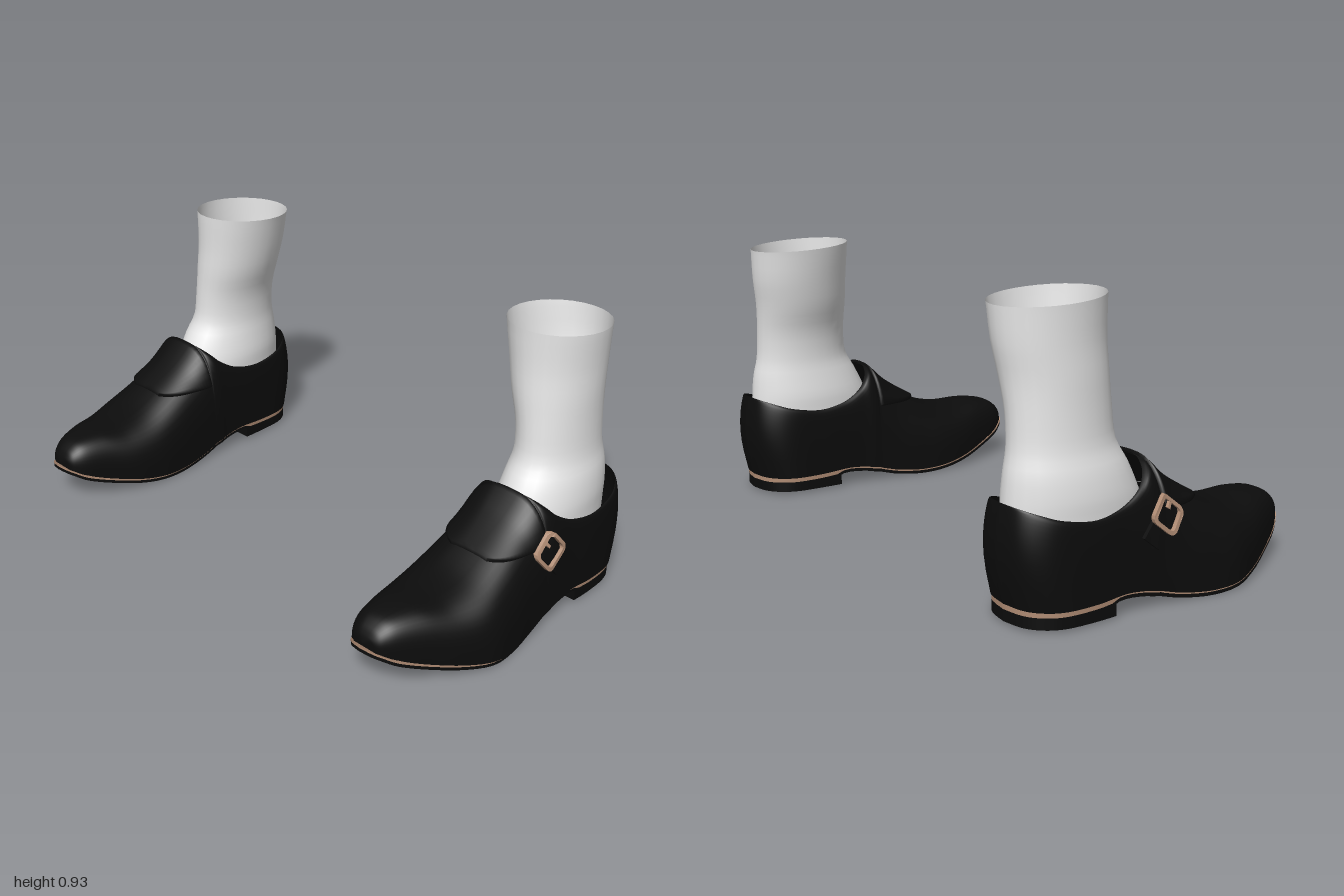
import * as THREE from 'three';
import { mergeGeometries, mergeVertices, toCreasedNormals } from 'three/addons/utils/BufferGeometryUtils.js';

const material = (name, color, side = THREE.FrontSide) => {
  const m = new THREE.MeshStandardMaterial({ color, side });
  m.name = name;
  return m;
};

// Shoe stations from toe to heel: z, centre x, half width, top y, base y, half opening
const STATIONS = [
  [0.55, 0.765, 0, 0.15, 0.142, 0], [0.54, 0.766, 0.042, 0.175, 0.136, 0],
  [0.52, 0.767, 0.066, 0.2, 0.124, 0], [0.48, 0.77, 0.092, 0.222, 0.1, 0],
  [0.4, 0.778, 0.128, 0.232, 0.07, 0], [0.3, 0.787, 0.17, 0.228, 0.042, 0],
  [0.2, 0.797, 0.195, 0.248, 0.024, 0], [0.1, 0.797, 0.19, 0.297, 0.018, 0],
  [0, 0.795, 0.176, 0.36, 0.028, 0], [-0.07, 0.795, 0.168, 0.425, 0.045, 0],
  [-0.085, 0.795, 0.167, 0.425, 0.05, 0.05], [-0.11, 0.795, 0.166, 0.4, 0.054, 0.1],
  [-0.15, 0.796, 0.162, 0.36, 0.062, 0.13], [-0.22, 0.797, 0.16, 0.322, 0.068, 0.142],
  [-0.32, 0.8, 0.16, 0.305, 0.062, 0.148], [-0.42, 0.8, 0.152, 0.32, 0.06, 0.14],
  [-0.48, 0.8, 0.125, 0.34, 0.06, 0.113], [-0.52, 0.8, 0.075, 0.355, 0.06, 0.066],
  [-0.535, 0.8, 0, 0.36, 0.06, 0],
];
// Sock rings: y, centre x, half width, front z, back z
const SOCK = [
  [0.2, 0.795, 0.14, -0.03, -0.525], [0.3, 0.795, 0.14, -0.05, -0.525],
  [0.36, 0.795, 0.14, -0.075, -0.522], [0.43, 0.795, 0.13, -0.11, -0.515],
  [0.5, 0.79, 0.117, -0.15, -0.502], [0.6, 0.782, 0.118, -0.16, -0.5],
  [0.7, 0.765, 0.133, -0.163, -0.506], [0.8, 0.752, 0.144, -0.167, -0.52],
  [0.914, 0.743, 0.158, -0.165, -0.525],
];

// Smooth interpolation through the rows of a table, t in 0..1
function sample(table, t) {
  const n = table.length - 1, f = Math.min(Math.max(t, 0), 1) * n;
  const i = Math.min(Math.floor(f), n - 1), k = f - i;
  const [p0, p1, p2, p3] = [Math.max(i - 1, 0), i, i + 1, Math.min(i + 2, n)].map((j) => table[j]);
  return p1.map((b, c) => {
    const m1 = (p2[c] - p0[c]) / 2, m2 = (p3[c] - b) / 2, d = p2[c] - b;
    return b + k * (m1 + k * (3 * d - 2 * m1 - m2 + k * (m1 + m2 - 2 * d)));
  });
}

function station(t) {
  const [z, xc, w, top, base, open] = sample(STATIONS, t);
  return { z, xc, w: Math.max(w, 0), top, base, open: Math.max(open, 0) };
}

function tAt(z) {
  let lo = 0, hi = 1;
  for (let i = 0; i < 30; i++) {
    const mid = (lo + hi) / 2;
    if (station(mid).z > z) lo = mid; else hi = mid;
  }
  return lo;
}

// Surface patch from fn(i, j) -> [x, y, z]
function grid(nu, nv, fn) {
  const pos = [], idx = [];
  for (let i = 0; i <= nu; i++) for (let j = 0; j <= nv; j++) pos.push(...fn(i, j));
  for (let i = 0; i < nu; i++) for (let j = 0; j < nv; j++) {
    const a = i * (nv + 1) + j, b = a + nv + 1;
    idx.push(a, b, b + 1, a, b + 1, a + 1);
  }
  const g = new THREE.BufferGeometry();
  g.setAttribute('position', new THREE.Float32BufferAttribute(pos, 3));
  g.setIndex(idx);
  return g;
}

function smooth(geos) {
  const g = mergeVertices(mergeGeometries(geos), 1e-5);
  g.computeVertexNormals();
  return g;
}

const P = 0.7; // fullness of the arched cross-section
const pw = (v) => Math.pow(Math.max(v, 0), P);

// Outer wall of the shoe at a given z and y
function wallX(z, y) {
  const s = station(tAt(z));
  const v = Math.min(Math.max((y - s.base) / (s.top - s.base), 0), 1);
  const sin = Math.pow(v, 1 / P);
  return s.xc + s.open + (s.w + 0.005 - s.open) * pw(Math.sqrt(1 - sin * sin));
}

// Upper: arched over the toes, open at the ankle, bulging at the heel
function upper() {
  const nu = 108, nv = 12;
  return smooth([1, -1].map((side) => grid(nu, nv, (i, j) => {
    const s = station(i / nu), a = ((side > 0 ? j : nv - j) / nv) * Math.PI / 2;
    const v = pw(Math.sin(a));
    const half = s.open + (s.w - s.open + (s.w > 0.03 ? 0.005 : 0)) * pw(Math.cos(a));
    const heel = THREE.MathUtils.smoothstep(-s.z, 0.3, 0.535);
    return [s.xc + side * half, s.base + (s.top - s.base) * v, s.z - heel * 0.027 * Math.sin(2.7 * v)];
  })));
}

// Flap folded over the instep
function flap() {
  const nu = 18, nv = 10, y0 = 0.295;
  return smooth([1, -1].map((side) => grid(nu, nv, (i, j) => {
    const k = Math.min(Math.max(i - 1, 0), nu - 2) / (nu - 2);
    const s = station(tAt(0.115 - 0.187 * k)), row = side > 0 ? j : nv - j;
    const lift = i === 0 || i === nu || row === 0 ? -0.002 : 0.012;
    const h = s.top + 0.012 - s.base;
    const start = Math.asin(Math.min(Math.pow((y0 - s.base) / h, 1 / P), 1));
    const a = start + (Math.PI / 2 - start) * Math.max(row - 1, 0) / (nv - 1);
    return [s.xc + side * (s.w + 0.005 + lift) * pw(Math.cos(a)),
      s.base + (s.top + lift - s.base) * pw(Math.sin(a)), s.z];
  })));
}

// Layer following the footprint, closed at both ends
function slab(z0, z1, inset, top, bottom) {
  const t0 = tAt(z0), t1 = tAt(z1), n = 60;
  const g = grid(n + 2, 4, (i, j) => {
    const s = station(t0 + (t1 - t0) * Math.min(Math.max(i - 1, 0), n) / n);
    const half = i === 0 || i === n + 2 ? 0 : Math.max(s.w - inset, 0);
    const up = j === 1 || j === 2, right = j < 2 || j === 4;
    const cap = i === 0 || i === n + 2;
    const y = cap ? (top(s) + bottom(s)) / 2 : up ? top(s) : bottom(s);
    return [s.xc + (right ? half : -half), y, s.z > 0 ? s.z * 1.018 : s.z];
  });
  return toCreasedNormals(g, 0.6);
}

// Lays flat geometry on the outer wall, turned to the strap's slant
function onWall(geo) {
  const p = geo.attributes.position;
  for (let i = 0; i < p.count; i++) {
    const u = p.getX(i), v = p.getY(i);
    const z = -0.073 - 0.78 * u + 0.62 * v, y = 0.281 + 0.62 * u + 0.78 * v;
    p.setXYZ(i, wallX(z, y) + p.getZ(i), y, z);
  }
  geo.deleteAttribute('uv');
  return toCreasedNormals(geo, 0.6);
}

function roundedRect(path, w, h, r) {
  [[1, 1], [-1, 1], [-1, -1], [1, -1]].forEach(([sx, sy], k) => {
    path.absarc(sx * (w / 2 - r), sy * (h / 2 - r), r, k * Math.PI / 2, (k + 1) * Math.PI / 2, false);
  });
  path.closePath();
  return path;
}

function buckle() {
  const shape = roundedRect(new THREE.Shape(), 0.106, 0.094, 0.022);
  shape.holes.push(roundedRect(new THREE.Path(), 0.082, 0.07, 0.012));
  return onWall(new THREE.ExtrudeGeometry(shape, { depth: 0.014, bevelEnabled: false, curveSegments: 5 })
    .translate(0, 0, 0.01));
}

// Sock: open tube with a slanted top edge
function sock() {
  const nu = 28, nv = 24;
  return smooth([grid(nu, nv, (i, j) => {
    const [y, xc, rx, zf, zb] = sample(SOCK, j / nv), a = (i / nu) * Math.PI * 2;
    const z = (zf + zb) / 2 + Math.cos(a) * (zf - zb) / 2;
    const slant = j === nv ? 0.065 * (z + 0.345) : 0;
    return [xc + Math.sin(a) * rx, y + slant, z];
  })]);
}

export function createModel() {
  const black = material('black leather', 0x0c0c0c, THREE.DoubleSide);
  const tan = material('tan trim', 0xb08c74);
  const white = material('white knit', 0xf0f0f0, THREE.DoubleSide);

  const weltDepth = (s) => 0.006 + 0.01 * THREE.MathUtils.smoothstep(-s.z, 0.23, 0.27);
  const weltBase = (s) => s.base - weltDepth(s);
  const parts = [
    ['upper', upper(), black],
    ['instepFlap', flap(), black],
    ['strap', onWall(new THREE.BoxGeometry(0.07, 0.18, 0.014, 6, 12, 1).translate(0, -0.01, 0.005)), black],
    ['insole', slab(0.53, -0.53, 0.012, (s) => s.base + 0.012, (s) => s.base - 0.002), black],
    ['welt', slab(0.55, -0.535, 0, (s) => s.base, weltBase), tan],
    ['outsole', slab(0.55, -0.535, 0.002, weltBase, (s) => weltBase(s) - 0.012), black],
    ['heelBlock', slab(-0.25, -0.535, 0.001, weltBase, () => 0.008), black],
    ['buckleFrame', buckle(), tan],
    ['bucklePin', onWall(new THREE.BoxGeometry(0.01, 0.025, 0.012).translate(0.008, 0.028, 0.017)), tan],
    ['sock', sock(), white],
  ];

  const model = new THREE.Group();
  model.name = 'pairOfBuckledShoes';
  for (const side of ['left', 'right']) {
    const shoe = new THREE.Group();
    shoe.name = side + 'Shoe';
    for (const [name, source, mat] of parts) {
      const geo = mergeVertices(source, 1e-5);
      if (side === 'right') {
        geo.scale(-1, 1, 1);
        geo.index.array.reverse(); // keep faces outward after mirroring
      }
      const mesh = new THREE.Mesh(geo, mat);
      mesh.name = name;
      shoe.add(mesh);
    }
    model.add(shoe);
  }
  return model;
}
